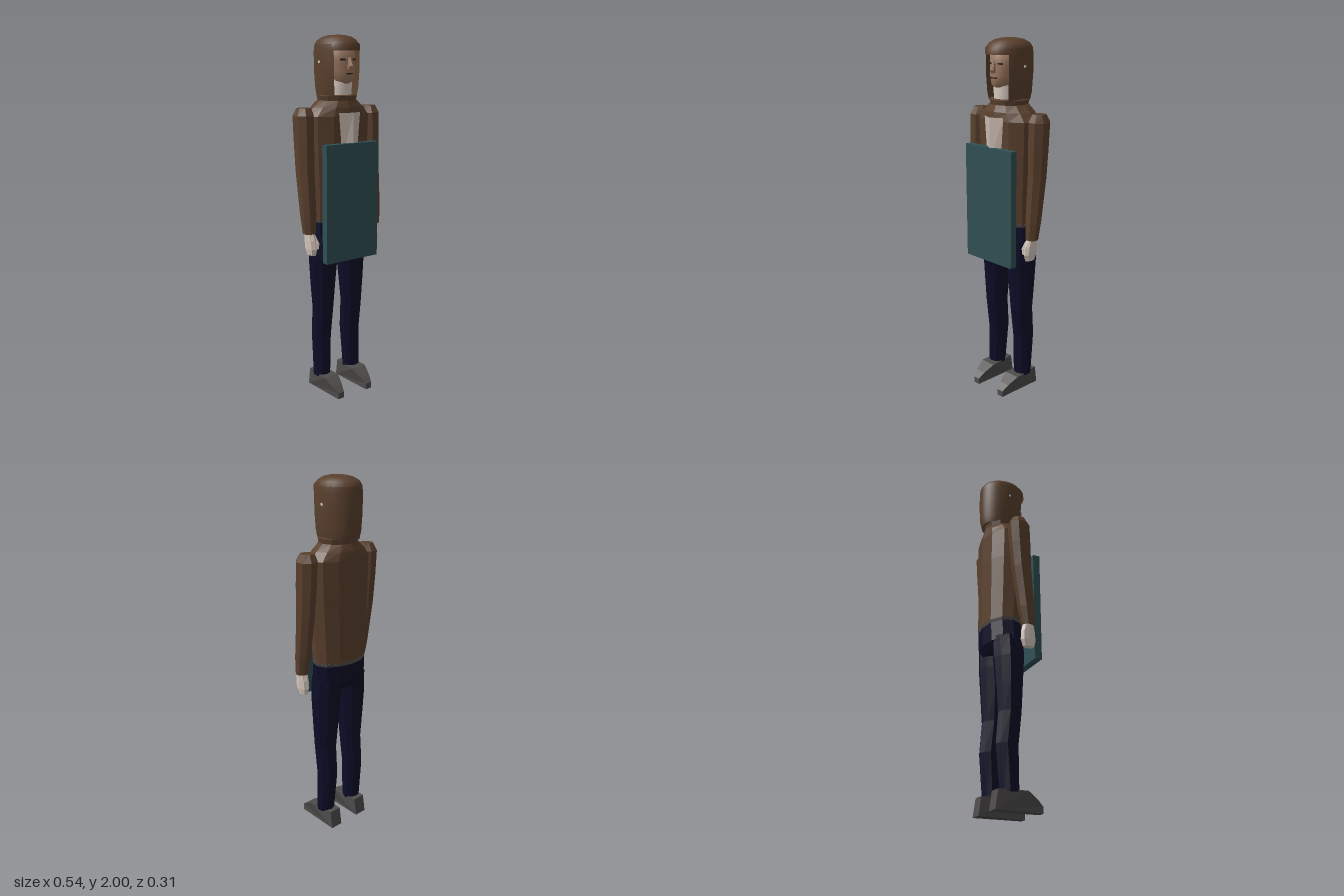
import * as THREE from 'three';
import { mergeVertices } from 'three/addons/utils/BufferGeometryUtils.js';

const mat = (name, color, side = THREE.FrontSide) => {
  const m = new THREE.MeshStandardMaterial({ color, side });
  m.name = name;
  return m;
};

// Skin over elliptical rings [y, cx, cz, rx, rz], listed bottom to top.
// Angle 0 faces +z; a partial arc leaves an open shell.
function loft(rings, { n = 8, turn = 0, from = 0, to = Math.PI * 2, caps = true, smooth = false } = {}) {
  const pos = [], idx = [], w = n + 1;
  for (const [y, cx, cz, rx, rz] of rings)
    for (let i = 0; i <= n; i++) {
      const a = from + (to - from) * i / n + turn;
      pos.push(cx + rx * Math.sin(a), y, cz + rz * Math.cos(a));
    }
  for (let j = 0; j < rings.length - 1; j++)
    for (let i = 0; i < n; i++) {
      const a = j * w + i, b = a + 1, c = a + w, d = c + 1;
      idx.push(a, b, d, a, d, c);
    }
  if (caps) {
    const last = rings.length - 1, base = last * w, c = pos.length / 3;
    pos.push(rings[0][1], rings[0][0], rings[0][2]);
    pos.push(rings[last][1], rings[last][0], rings[last][2]);
    for (let i = 0; i < n; i++) idx.push(c, i + 1, i, c + 1, base + i, base + i + 1);
  }
  let g = new THREE.BufferGeometry();
  g.setAttribute('position', new THREE.Float32BufferAttribute(pos, 3));
  g.setIndex(idx);
  g = smooth ? mergeVertices(g, 1e-4) : g.toNonIndexed();
  g.computeVertexNormals();
  return g;
}

export function createModel() {
  const coat = mat('brownCoat', 0x5a402d, THREE.DoubleSide);
  const navy = mat('navyTrousers', 0x0c0c28);
  const grey = mat('greyShoes', 0x4f4d4c);
  const pale = mat('paleSkin', 0xdccdc2);
  const tan = mat('tanFace', 0x99765f);
  const dark = mat('darkDetail', 0x2e2019);
  const shirt = mat('shirt', 0xcbbbb1, THREE.DoubleSide);
  const teal = mat('tealBoard', 0x305054);

  const root = new THREE.Group();
  const add = (name, geo, m, x = 0, y = 0, z = 0, parent = root) => {
    const mesh = new THREE.Mesh(geo, m);
    mesh.name = name;
    mesh.position.set(x, y, z);
    parent.add(mesh);
    return mesh;
  };

  // Jacket with sloping shoulders and a raised collar
  add('jacket', loft([
    [1.02, 0, -0.03, 0.17, 0.11], [1.15, 0, -0.025, 0.175, 0.115],
    [1.4, 0, -0.022, 0.19, 0.122], [1.58, 0, -0.02, 0.195, 0.122],
    [1.625, 0, -0.02, 0.155, 0.115], [1.66, 0, -0.02, 0.112, 0.1],
  ], { n: 12 }), coat);
  add('collar', loft([
    [1.65, 0, -0.02, 0.105, 0.098], [1.685, 0, -0.02, 0.112, 0.104], [1.69, 0, -0.02, 0.1, 0.095],
  ], { n: 12 }), coat);
  add('jacketHem', loft([[1.005, 0, -0.03, 0.168, 0.108], [1.022, 0, -0.03, 0.172, 0.112]], { n: 12 }), grey);

  // Shirt front, folded along its middle
  const fold = new THREE.PlaneGeometry(0.14, 0.24, 2, 1);
  const fp = fold.attributes.position;
  for (let i = 0; i < fp.count; i++) {
    const k = fp.getY(i) < 0 ? 0.7 : 1;
    fp.setXYZ(i, fp.getX(i) * k, fp.getY(i), Math.abs(fp.getX(i)) > 0.01 ? 0.095 : 0.128);
  }
  const shirtGeo = fold.toNonIndexed();
  shirtGeo.computeVertexNormals();
  add('shirtFront', shirtGeo, shirt, 0, 1.48, 0);

  // Board held before the body
  add('board', new THREE.BoxGeometry(0.345, 0.64, 0.04), teal, -0.007, 1.12, 0.115);

  // Hips
  add('hips', loft([
    [0.86, 0, -0.025, 0.135, 0.085], [0.9, 0, -0.025, 0.172, 0.108], [1.01, 0, -0.03, 0.168, 0.107],
  ], { n: 12 }), navy);

  // Limbs, mirrored
  for (const s of [1, -1]) {
    const side = s > 0 ? 'left' : 'right';
    const limb = (name, rings, m, opt) =>
      add(side + name, loft(rings.map(([y, x, ...r]) => [y, s * x, ...r]), opt), m);

    limb('Sleeve', [
      [0.96, 0.222, 0.032, 0.036, 0.036], [1.06, 0.222, 0.022, 0.044, 0.046],
      [1.3, 0.222, -0.004, 0.05, 0.056], [1.45, 0.221, -0.012, 0.053, 0.062],
      [1.585, 0.22, -0.018, 0.056, 0.064], [1.625, 0.218, -0.018, 0.038, 0.04],
    ], coat, { n: 8, turn: Math.PI / 8 });
    limb('Hand', [
      [0.84, 0.212, 0.036, 0.019, 0.032], [0.875, 0.214, 0.035, 0.025, 0.044],
      [0.925, 0.218, 0.034, 0.026, 0.042], [0.975, 0.222, 0.032, 0.026, 0.028],
    ], pale, { n: 8 });
    limb('Thumb', [
      [0.875, 0.196, 0.064, 0.009, 0.011], [0.905, 0.193, 0.062, 0.012, 0.014],
      [0.945, 0.205, 0.05, 0.01, 0.012],
    ], pale, { n: 6 });
    limb('Leg', [
      [0.09, 0.105, -0.025, 0.05, 0.05], [0.33, 0.101, -0.036, 0.054, 0.062],
      [0.5, 0.1, -0.02, 0.06, 0.064], [0.65, 0.098, -0.021, 0.073, 0.073],
      [0.8, 0.094, -0.022, 0.084, 0.084], [0.92, 0.088, -0.024, 0.083, 0.088],
    ], navy, { n: 10 });

    // Shoe: side profile extruded, then narrowed to the toe
    const p = [[-0.115, 0], [0.155, 0], [0.155, 0.035], [0.12, 0.065], [0.06, 0.1], [-0.1, 0.1]];
    let shoe = new THREE.ExtrudeGeometry(
      new THREE.Shape(p.map(([z, y]) => new THREE.Vector2(z, y))), { depth: 0.1, bevelEnabled: false });
    shoe.translate(0, 0, -0.05).rotateY(-Math.PI / 2);
    const sp = shoe.attributes.position;
    for (let i = 0; i < sp.count; i++) {
      const z = sp.getZ(i), k = z > 0.13 ? 0.4 : z > 0.1 ? 0.62 : z < -0.08 ? 0.75 : 0.95;
      sp.setX(i, sp.getX(i) * k);
    }
    shoe.computeVertexNormals();
    add(side + 'Shoe', shoe, grey, s * 0.1, 0, 0);
  }

  // Neck and head
  const head = new THREE.Group();
  head.name = 'head';
  root.add(head);
  add('neck', loft([[1.62, 0, 0, 0.066, 0.066], [1.77, 0, 0.005, 0.066, 0.07]], { n: 12, smooth: true, caps: false }),
    pale, 0, 0, 0, head);
  add('face', loft([
    [1.75, 0, 0.015, 0.04, 0.06], [1.765, 0, 0.01, 0.06, 0.084], [1.81, 0, 0.005, 0.075, 0.092],
    [1.87, 0, 0, 0.082, 0.092], [1.94, 0, 0, 0.08, 0.09],
  ], { n: 16, smooth: true }), tan, 0, 0, 0, head);
  add('nose', loft([
    [1.825, 0, 0.095, 0.014, 0.016], [1.84, 0, 0.098, 0.014, 0.022], [1.885, 0, 0.088, 0.007, 0.01],
  ], { n: 6 }), tan, 0, 0, 0, head);
  add('mouth', new THREE.BoxGeometry(0.04, 0.006, 0.008), dark, 0, 1.8, 0.094, head);
  for (const s of [1, -1]) {
    add('eye', new THREE.BoxGeometry(0.028, 0.008, 0.008), dark, s * 0.036, 1.872, 0.081, head).rotation.y = s * 0.4;
    add('ear', new THREE.BoxGeometry(0.008, 0.012, 0.012), pale, s * 0.113, 1.86, -0.02, head);
  }

  // Hood: open shell around the face, full crown above, fringe over the brow
  const gap = 0.84;
  add('hood', loft([
    [1.68, 0, -0.022, 0.098, 0.122], [1.72, 0, -0.022, 0.106, 0.131],
    [1.82, 0, -0.022, 0.114, 0.136], [1.92, 0, -0.022, 0.114, 0.136], [1.95, 0, -0.022, 0.11, 0.132],
  ], { n: 24, from: gap, to: Math.PI * 2 - gap, caps: false, smooth: true }), coat, 0, 0, 0, head);
  add('crown', loft([
    [1.925, 0, -0.022, 0.111, 0.134], [1.95, 0, -0.022, 0.11, 0.132], [1.972, 0, -0.022, 0.098, 0.118],
    [1.99, 0, -0.02, 0.07, 0.085], [1.998, 0, -0.018, 0.036, 0.046], [1.992, 0, -0.018, 0.028, 0.036],
  ], { n: 24, smooth: true }), coat, 0, 0, 0, head);
  add('fringe', loft([
    [1.918, 0, -0.022, 0.112, 0.142], [1.95, 0, -0.022, 0.112, 0.14], [1.965, 0, -0.022, 0.1, 0.125],
  ], { n: 10, from: -0.95, to: 0.95, caps: false, smooth: true }), coat, 0, 0, 0, head);

  return root;
}
